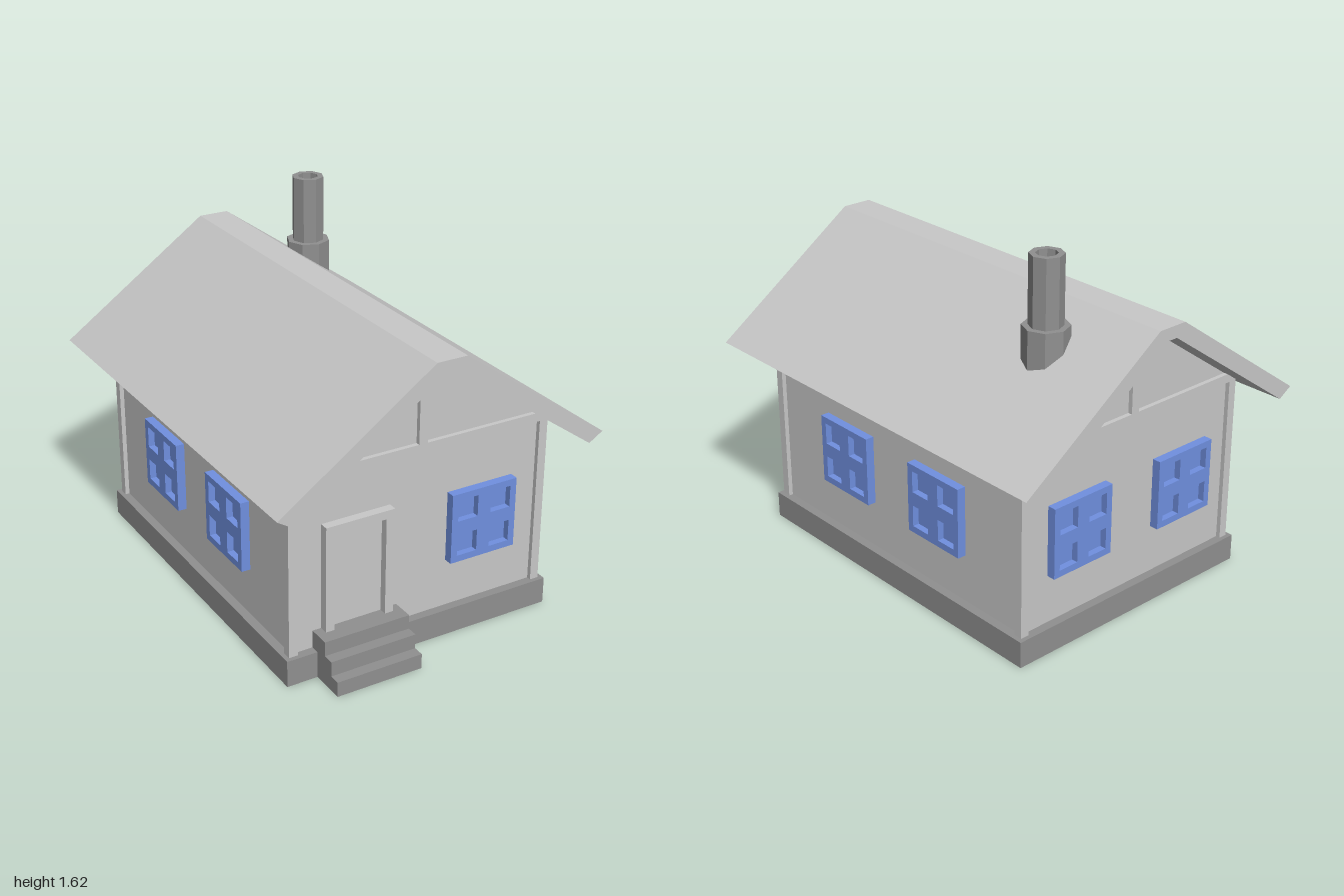
import * as THREE from 'three';

const mat = (name, color) => new THREE.MeshStandardMaterial({ name, color, flatShading: true });

export function createModel() {
  const house = new THREE.Group();
  house.name = 'cottage';
  const plaster = mat('lightGrey', 0xc8c8c8);
  const stone = mat('darkGrey', 0x909090);
  const blue = mat('windowBlue', 0x7090e0);

  const add = (name, geometry, material, parent = house) => {
    const mesh = new THREE.Mesh(geometry, material);
    mesh.name = name;
    parent.add(mesh);
    return mesh;
  };
  // box given by its minimum and maximum corners
  const box = (name, material, [x0, y0, z0], [x1, y1, z1]) => {
    const g = new THREE.BoxGeometry(x1 - x0, y1 - y0, z1 - z0);
    g.translate((x0 + x1) / 2, (y0 + y1) / 2, (z0 + z1) / 2);
    return add(name, g, material);
  };
  const points = pts => pts.map(p => new THREE.Vector2(...p));
  const shapeOf = pts => new THREE.Shape(points(pts));
  const extrude = (shape, z0, z1) =>
    new THREE.ExtrudeGeometry(shape, { depth: z1 - z0, bevelEnabled: false }).translate(0, 0, z0);
  const rect = (x0, y0, x1, y1) => [[x0, y0], [x1, y0], [x1, y1], [x0, y1]];

  // plinth and walls
  box('plinth', stone, [-0.64, 0, -0.84], [0.64, 0.12, 0.84]);
  add('walls', extrude(shapeOf([
    [-0.6, 0.12], [0.6, 0.12], [0.6, 0.9], [0.025, 1.305], [-0.025, 1.305], [-0.6, 0.9],
  ]), -0.8, 0.8), plaster);

  // corner posts, gable tie beams and king posts
  for (const z of [-0.8, 0.8]) {
    for (const x of [-0.6, 0.6])
      box('cornerPost', plaster, [x - 0.02, 0.12, z - 0.02], [x + 0.02, 0.885, z + 0.02]);
    box('tieBeam', plaster, [-0.62, 0.885, z - 0.02], [0.62, 0.925, z + 0.02]);
    box('kingPost', plaster, [-0.02, 0.925, z - 0.02], [0.02, 1.31, z + 0.02]);
  }

  // roof
  add('roof', extrude(shapeOf([
    [-0.765, 0.87], [-0.7, 0.83], [-0.025, 1.305], [0.025, 1.305],
    [0.7, 0.83], [0.765, 0.87], [0.07, 1.36], [-0.07, 1.36],
  ]), -1, 1), plaster);

  // chimney, octagonal with an open flue
  const profile = [[0, 1.1], [0.1, 1.1], [0.1, 1.315], [0.073, 1.315], [0.073, 1.615],
    [0.046, 1.615], [0.046, 1.42], [0, 1.42]];
  add('chimney', new THREE.LatheGeometry(points(profile), 8), stone)
    .position.set(0.275, 0, -0.58);

  // windows: a frame with four openings over a recessed pane
  const frame = shapeOf(rect(-0.16, -0.16, 0.16, 0.16));
  for (const x of [-0.081, 0.081]) for (const y of [-0.081, 0.081])
    frame.holes.push(new THREE.Path(points(rect(x - 0.049, y - 0.049, x + 0.049, y + 0.049))));
  const frameGeometry = extrude(frame, -0.01, 0.04);
  const paneGeometry = new THREE.BoxGeometry(0.31, 0.31, 0.02);
  const addWindow = (x, z, turn) => {
    const w = new THREE.Group();
    w.name = 'window';
    add('windowFrame', frameGeometry, blue, w);
    add('windowPane', paneGeometry, blue, w);
    w.position.set(x, 0.5, z);
    w.rotation.y = turn;
    house.add(w);
  };
  addWindow(0.3, 0.8, 0);
  for (const s of [-0.3, 0.3]) {
    addWindow(s, -0.8, Math.PI);
    addWindow(0.6, s, Math.PI / 2);
    addWindow(-0.6, s, -Math.PI / 2);
  }

  // door and its frame
  add('doorFrame', extrude(shapeOf([
    [-0.46, 0.12], [-0.42, 0.12], [-0.42, 0.642], [-0.18, 0.642],
    [-0.18, 0.12], [-0.14, 0.12], [-0.14, 0.68], [-0.46, 0.68],
  ]), 0.79, 0.84), plaster);
  box('door', plaster, [-0.42, 0.12, 0.79], [-0.18, 0.642, 0.805]);

  // front steps, one stepped side profile swept across x
  const steps = extrude(shapeOf([
    [0.8, 0], [1, 0], [1, 0.068], [0.95, 0.068], [0.95, 0.135], [0.9, 0.135], [0.9, 0.2], [0.8, 0.2],
  ]), 0, 0.4);
  steps.rotateY(-Math.PI / 2);
  add('frontSteps', steps, stone).position.x = -0.1;

  return house;
}
